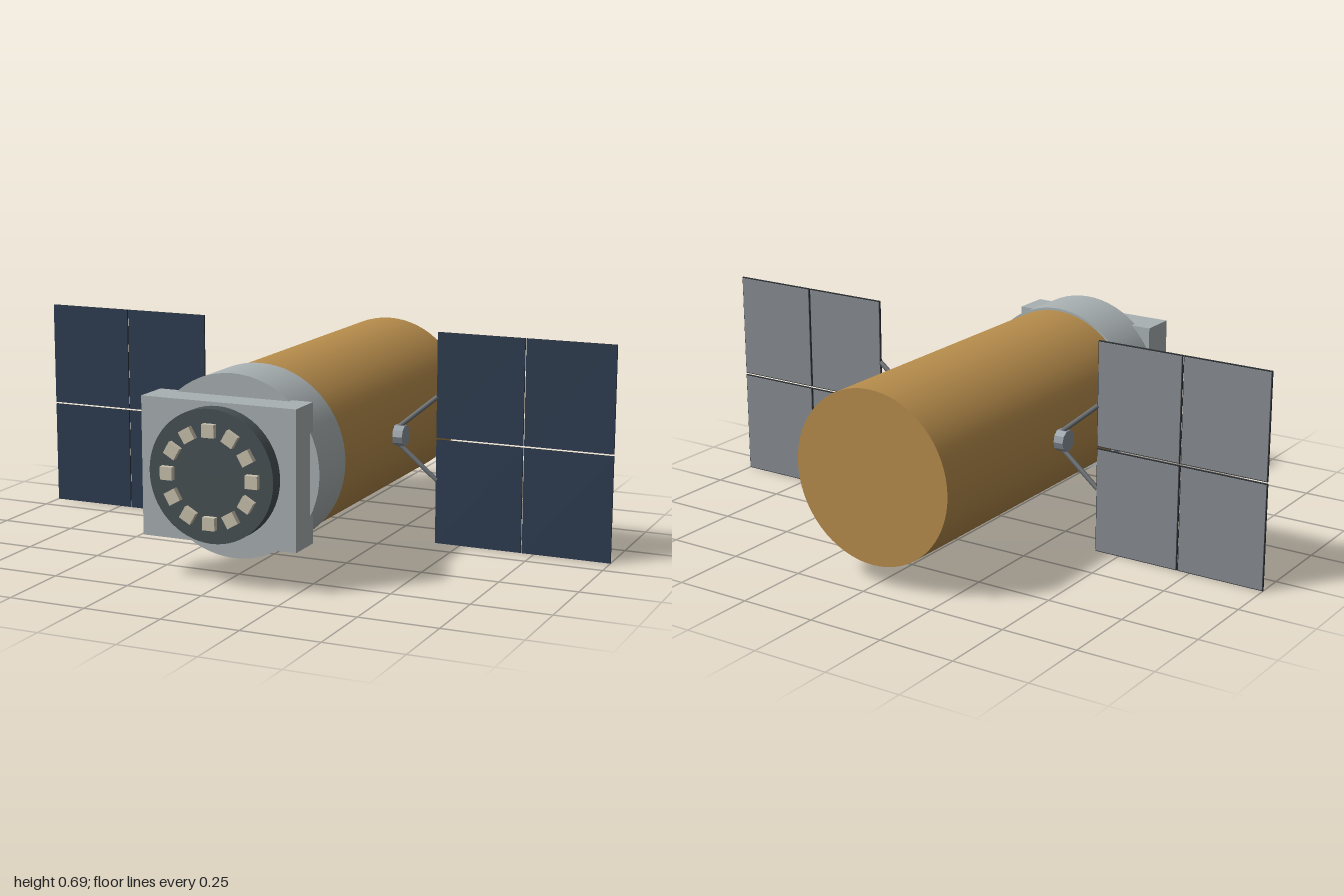
import * as THREE from 'three';

const paint = (name, color) => {
  const m = new THREE.MeshStandardMaterial({ color });
  m.name = name;
  return m;
};

const CY = 0.345; // height of the main axis
const PZ = -0.087; // depth of the solar wings

export function createModel() {
  const gold = paint('gold foil', 0xb58b4b);
  const silver = paint('silver grey', 0xa9b1b3);
  const dark = paint('dark plate', 0x485154);
  const cream = paint('cream', 0xcac2ae);
  const navy = paint('solar navy', 0x2c3b50);
  const backing = paint('panel backing', 0x868a90);
  const edge = paint('panel edge', 0x2c3034);
  const steel = paint('strut steel', 0x6c7073);
  const hubGrey = paint('hub grey', 0x8a939b);

  const model = new THREE.Group();
  model.name = 'satellite';

  const add = (parent, name, geometry, material, x, y, z) => {
    const mesh = new THREE.Mesh(geometry, material);
    mesh.name = name;
    mesh.position.set(x, y, z);
    parent.add(mesh);
    return mesh;
  };

  // Cylinder along z between two depths
  const barrel = (name, r, z0, z1, material) => {
    const g = new THREE.CylinderGeometry(r, r, z1 - z0, 64).rotateX(Math.PI / 2);
    return add(model, name, g, material, 0, CY, (z0 + z1) / 2);
  };

  // Main body, collar and docking end
  barrel('body', 0.277, -0.7, 0.345, gold);
  barrel('collar', 0.285, 0.343, 0.535, silver);
  add(model, 'adapterBlock', new THREE.BoxGeometry(0.51, 0.43, 0.12), silver, 0, CY, 0.575);
  barrel('frontPlate', 0.204, 0.63, 0.682, dark);

  // Ring of twelve studs
  const studs = new THREE.Group();
  studs.name = 'studRing';
  model.add(studs);
  for (let i = 0; i < 12; i++) {
    const a = (i * Math.PI) / 6;
    const stud = add(studs, 'stud', new THREE.BoxGeometry(0.04, 0.04, 0.022), cream,
      Math.cos(a) * 0.14, CY + Math.sin(a) * 0.14, 0.689);
    stud.rotation.z = a;
  }

  // Round rod between two points
  const rod = (parent, name, a, b, r, material) => {
    const dir = b.clone().sub(a);
    const mid = a.clone().add(b).multiplyScalar(0.5);
    const mesh = add(parent, name, new THREE.CylinderGeometry(r, r, dir.length(), 8), material, mid.x, mid.y, mid.z);
    mesh.quaternion.setFromUnitVectors(new THREE.Vector3(0, 1, 0), dir.normalize());
  };

  // Solar wings
  for (const s of [1, -1]) {
    const wing = new THREE.Group();
    wing.name = s > 0 ? 'leftWing' : 'rightWing';
    model.add(wing);

    const hub = new THREE.CylinderGeometry(0.035, 0.035, 0.04, 10).toNonIndexed();
    hub.computeVertexNormals();
    add(wing, 'hub', hub.rotateZ(Math.PI / 2), hubGrey, s * 0.29, CY, PZ);

    for (const v of [1, -1]) {
      rod(wing, 'strut', new THREE.Vector3(s * 0.285, CY + v * 0.027, PZ),
        new THREE.Vector3(s * 0.418, CY + v * 0.137, PZ), 0.008, steel);

      // Two panels per row: navy cells in front, grey backing behind
      for (const x of [0.561, 0.855]) {
        const y = CY + v * 0.174;
        const faces = [edge, edge, edge, edge, navy, edge];
        add(wing, 'solarPanel', new THREE.BoxGeometry(0.29, 0.342, 0.006), faces, s * x, y, PZ);
        add(wing, 'panelBacking', new THREE.BoxGeometry(0.285, 0.336, 0.002), backing, s * x, y, PZ - 0.004);
      }
    }
  }
  return model;
}
